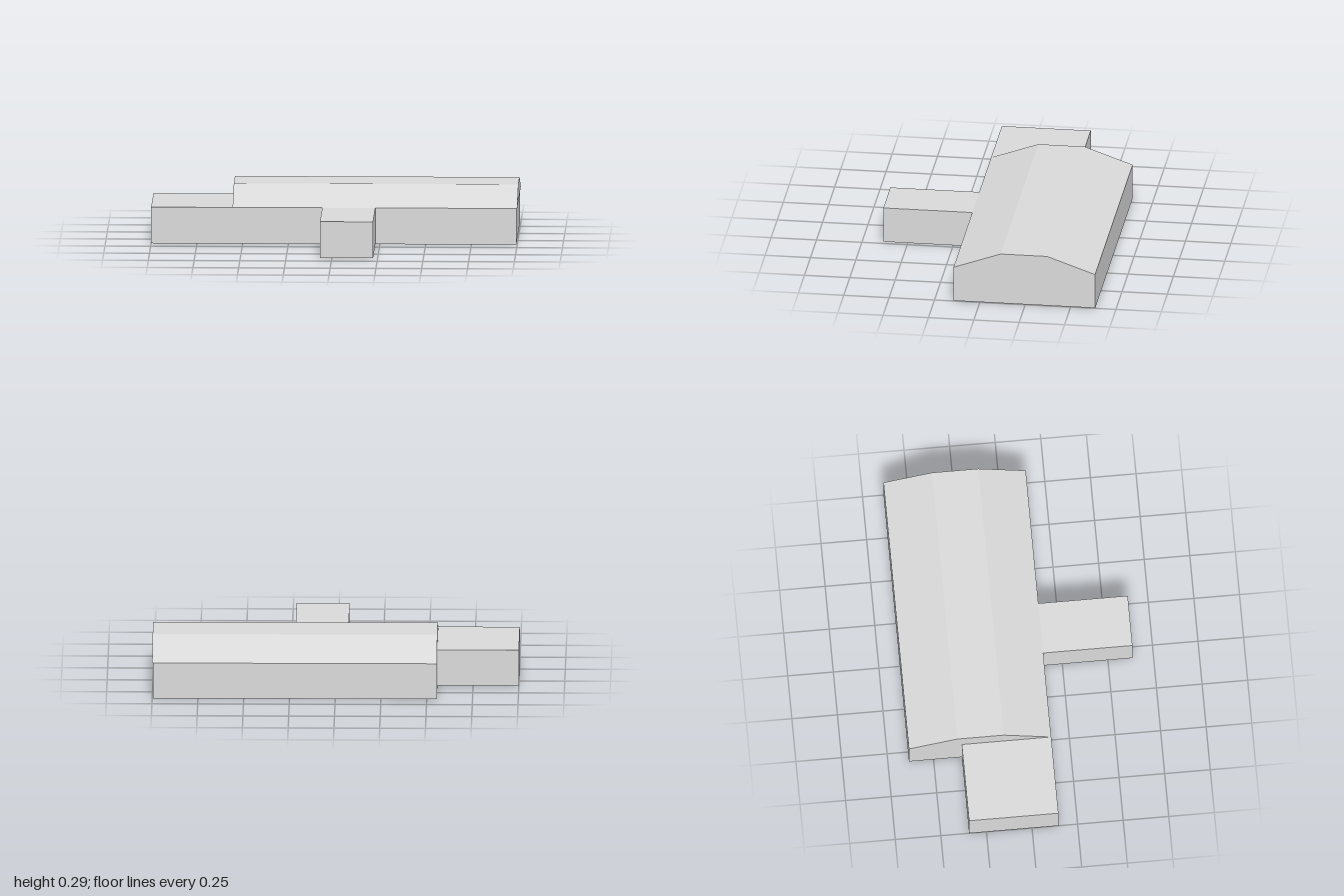
import * as THREE from 'three';

export function createModel() {
  const model = new THREE.Group();
  const grey = new THREE.MeshStandardMaterial({ color: 0xd9d9d9 });
  grey.name = 'light grey';
  const brown = new THREE.MeshStandardMaterial({ color: 0x916431 });
  brown.name = 'brown';

  const wallTop = 0.2;
  const front = 0.145, back = -0.635;

  // Block standing on the ground, given by its x and z limits
  function block(name, x0, x1, z0, z1, underside) {
    const geometry = new THREE.BoxGeometry(x1 - x0, wallTop, z1 - z0);
    const mesh = new THREE.Mesh(geometry, [grey, grey, grey, underside, grey, grey]);
    mesh.position.set((x0 + x1) / 2, wallTop / 2, (z0 + z1) / 2);
    mesh.name = name;
    model.add(mesh);
  }

  block('mainHall', -0.555, 0.995, back, front, grey);
  block('sideWing', -1, -0.555, -0.345, front, brown);
  block('entranceWing', -0.065, 0.225, front, 0.635, brown);

  // Roof with two slopes and a flat ridge, extruded along x
  const profile = new THREE.Shape();
  profile.moveTo(-front, wallTop);
  profile.lineTo(-back, wallTop);
  profile.lineTo(0.37, 0.293);
  profile.lineTo(0.115, 0.293);
  profile.closePath();
  const roofGeometry = new THREE.ExtrudeGeometry(profile, { depth: 1.555, bevelEnabled: false });
  roofGeometry.rotateY(Math.PI / 2);
  const roof = new THREE.Mesh(roofGeometry, grey);
  roof.position.x = -0.555;
  roof.name = 'roof';
  model.add(roof);

  return model;
}
